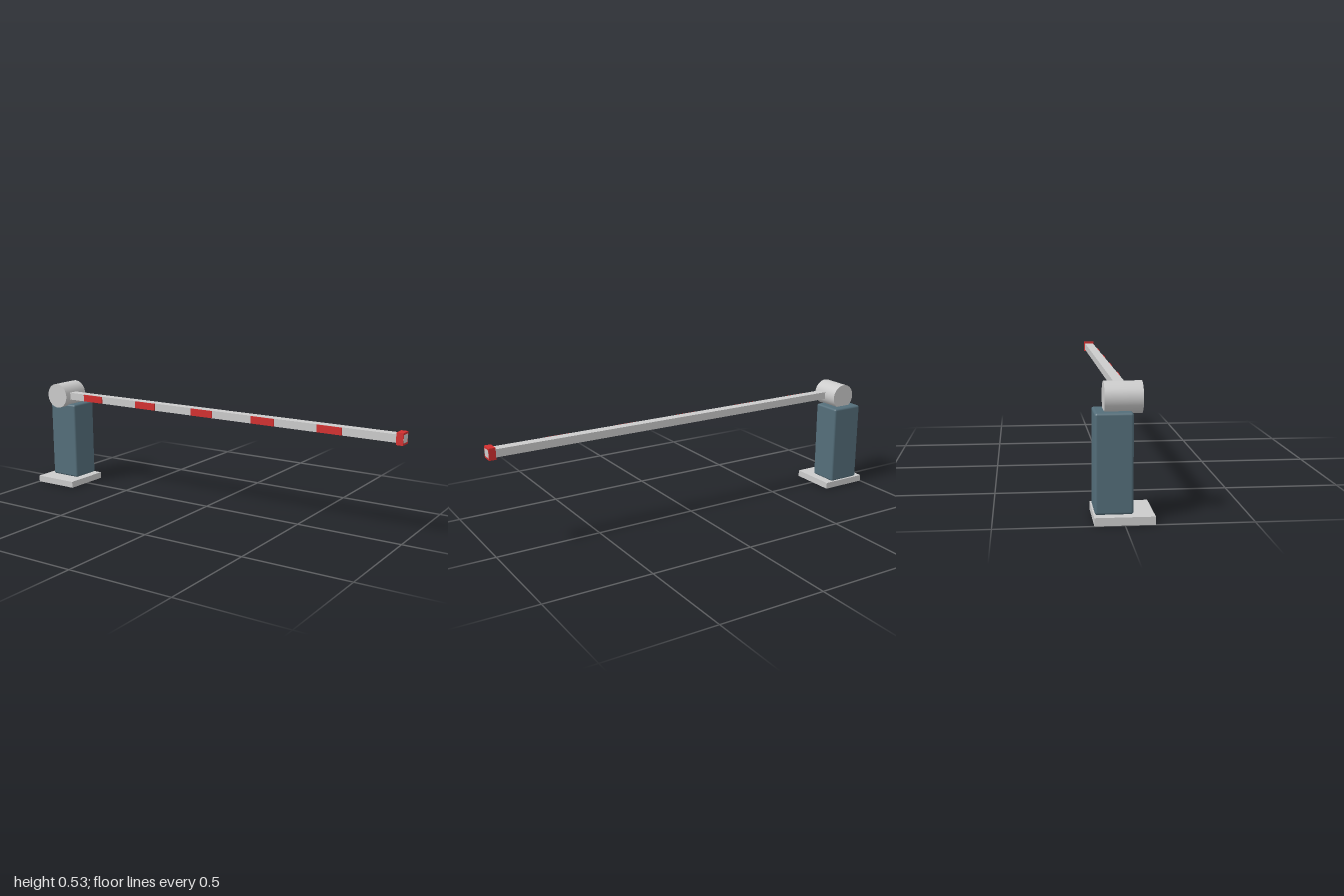
import * as THREE from 'three';
import { RoundedBoxGeometry } from 'three/addons/geometries/RoundedBoxGeometry.js';

export function createModel() {
  const model = new THREE.Group();
  model.name = 'barrierGate';

  const grey = new THREE.MeshStandardMaterial({ color: 0xcccccc });
  const blue = new THREE.MeshStandardMaterial({ color: 0x546e7a });
  const red = new THREE.MeshStandardMaterial({ color: 0xd32f2f });

  const add = (name, geometry, material, x, y, z) => {
    const mesh = new THREE.Mesh(geometry, material);
    mesh.name = name;
    mesh.position.set(x, y, z);
    model.add(mesh);
    return mesh;
  };

  const postX = -0.885;

  // Post: ground plate, rounded cabinet and pivot drum
  add('basePlate', new THREE.BoxGeometry(0.233, 0.032, 0.233), grey, -0.8835, 0.016, 0);
  add('cabinet', new RoundedBoxGeometry(0.164, 0.392, 0.148, 4, 0.01), blue, postX, 0.228, -0.038);
  const drum = new THREE.CylinderGeometry(0.0625, 0.0625, 0.148, 48).rotateX(Math.PI / 2);
  add('pivotDrum', drum, grey, postX, 0.472, 0.001);

  // Boom arm, reaching from the drum to just through the end cap
  const armY = 0.472, armZ = 0.0205, armEnd = 1;
  add('boomArm', new THREE.BoxGeometry(armEnd - postX, 0.036, 0.0455), grey, (armEnd + postX) / 2, armY, armZ);
  add('endCap', new THREE.BoxGeometry(0.031, 0.0535, 0.055), red, 0.984, armY, armZ);

  // Warning stripes on the front of the arm
  for (let i = 0; i < 5; i++) {
    add(`warningStripe${i + 1}`, new THREE.BoxGeometry(0.119, 0.034, 0.006), red, -0.667 + i * 0.3325, armY, 0.0452);
  }

  return model;
}
